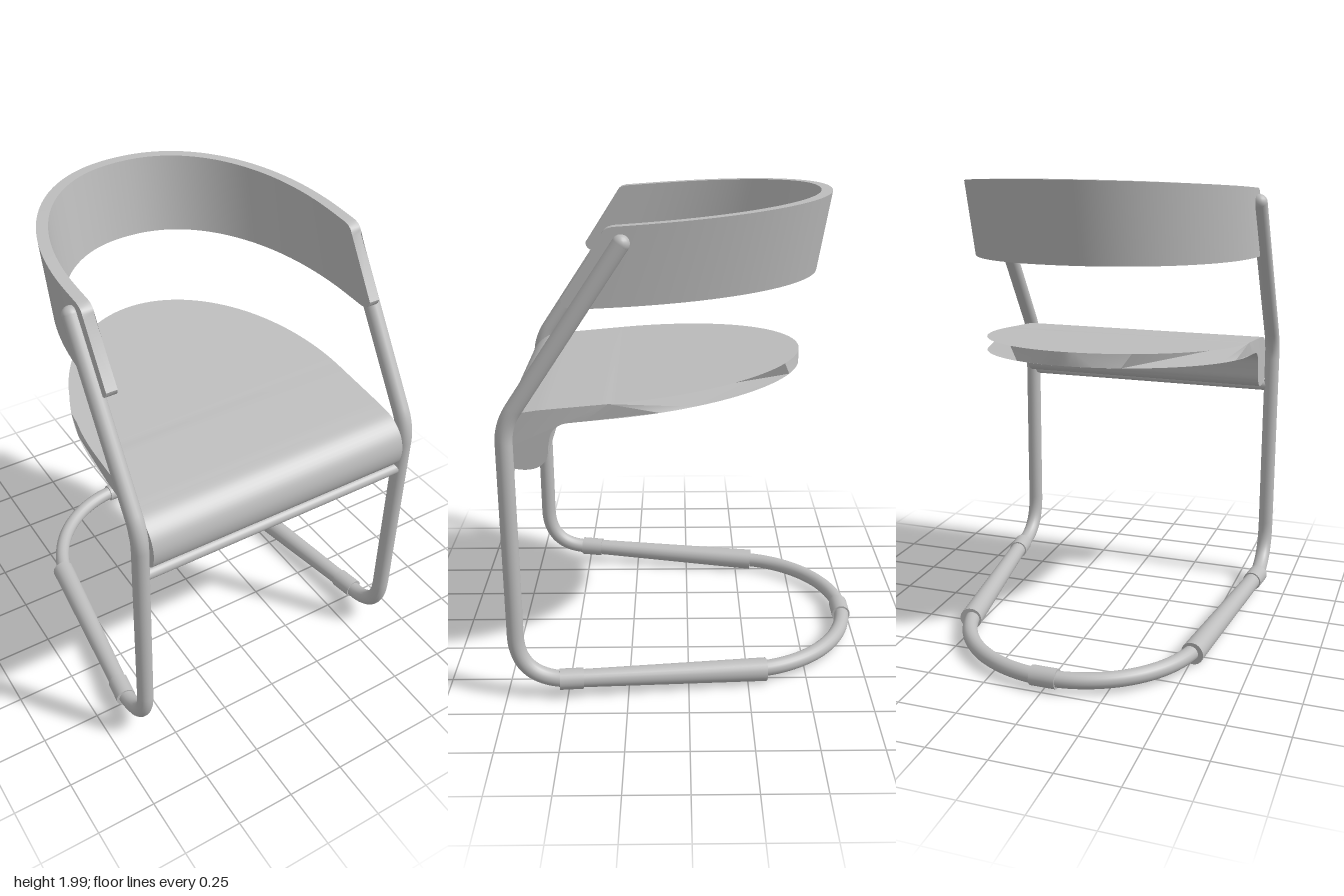
import * as THREE from 'three';
import { toCreasedNormals } from 'three/addons/utils/BufferGeometryUtils.js';

const V = (x, y, z) => new THREE.Vector3(x, y, z);
const steel = new THREE.MeshStandardMaterial({ color: 0xbdbdbd });
steel.name = 'plain grey';

function part(name, geometry) {
  const mesh = new THREE.Mesh(geometry, steel);
  mesh.name = name;
  return mesh;
}

// Tapered rod between two points
function rod(name, a, b, ra, rb = ra) {
  const dir = b.clone().sub(a);
  const mesh = part(name, new THREE.CylinderGeometry(rb, ra, dir.length(), 24));
  mesh.position.copy(a).add(b).multiplyScalar(0.5);
  mesh.quaternion.setFromUnitVectors(V(0, 1, 0), dir.normalize());
  return mesh;
}

// Bent tube: armrest support, front leg and floor runner in one
function sideFrame(s) {
  const group = new THREE.Group();
  group.name = s > 0 ? 'leftFrame' : 'rightFrame';
  const x = 0.617 * s, tip = V(x, 1.88, 0.245), foot = V(x, 0.082, 0.5), rear = V(0.512 * s, 0.055, -0.31);
  const path = new THREE.CurvePath();
  path.add(new THREE.LineCurve3(tip, V(x, 1.26, 0.66)));
  path.add(new THREE.QuadraticBezierCurve3(V(x, 1.26, 0.66), V(x, 1.195, 0.705), V(x, 1.12, 0.705)));
  path.add(new THREE.LineCurve3(V(x, 1.12, 0.705), V(x, 0.29, 0.705)));
  path.add(new THREE.QuadraticBezierCurve3(V(x, 0.29, 0.705), V(x, 0.09, 0.705), foot));
  path.add(new THREE.LineCurve3(foot, rear));
  group.add(part('legTube', new THREE.TubeGeometry(path, 180, 0.034, 18)));
  const cap = part('tubeTip', new THREE.SphereGeometry(0.034, 18, 12));
  cap.position.copy(tip);
  group.add(cap);
  const at = t => foot.clone().lerp(rear, t);
  group.add(rod('runnerSleeve', at(0.08), at(1.02), 0.037, 0.049));
  group.add(rod('footClamp', at(-0.04), at(0.08), 0.043));
  return group;
}

// Seat: side profile stretched across, then narrowed to a rounded back
function seatGeometry() {
  const back = -0.475, pts = [], n = 48;
  const run = (z1, y0, y1) => {
    const row = [];
    for (let i = 0; i <= n; i++) {
      const t = 1 - Math.cos((i / n) * Math.PI / 2);
      row.push([back + (z1 - back) * t, y0 + (y1 - y0) * t]);
    }
    return row;
  };
  const roll = [[0.58, 1.24], [0.665, 1.222], [0.725, 1.17], [0.745, 1.1], [0.725, 1.03], [0.66, 1.0],
    [0.59, 1.005], [0.55, 1.04], [0.54, 1.1], [0.527, 1.15], [0.49, 1.182], [0.43, 1.192]];
  const curve = new THREE.CatmullRomCurve3(roll.map(([z, y]) => V(0, y, z)));
  pts.push(...run(0.58, 1.335, 1.24));
  pts.push(...curve.getPoints(55).slice(1, -1).map(p => [p.z, p.y]));
  pts.push(...run(0.43, 1.278, 1.192).reverse());
  const shape = new THREE.Shape(pts.map(([z, y]) => new THREE.Vector2(-z, y)));
  const geo = new THREE.ExtrudeGeometry(shape, { depth: 2, bevelEnabled: false });
  geo.translate(0, 0, -1).rotateY(Math.PI / 2);
  const pos = geo.attributes.position;
  for (let i = 0; i < pos.count; i++) {
    const q = Math.min(1, Math.max(0, (0.3 - pos.getZ(i)) / 0.775));
    pos.setX(i, pos.getX(i) * 0.582 * Math.sqrt(1 - q * q));
  }
  return toCreasedNormals(geo, 0.6);
}

// Backrest: leaning band swept round a U-shaped path
function backrestGeometry() {
  const half = [];
  const power = 2 / 2.15, end = 0.32;
  const ends = [0, 0.004, 0.012, 0.025, 0.045, 0.08];
  for (const d of ends) half.push([0.605, end - d, d]);
  for (let i = 0; i <= 40; i++) {
    const a = (i / 40) * Math.PI / 2;
    half.push([0.605 * Math.cos(a) ** power, 0.2 - 0.79 * Math.sin(a) ** power, 1]);
  }
  half[half.length - 1][0] = 0;
  const path = [...half, ...half.slice(0, -1).reverse().map(([x, z, d]) => [-x, z, d])];
  const verts = [], index = [], thick = 0.046;
  path.forEach(([x, z, d], i) => {
    const p = path[Math.max(0, i - 1)], q = path[Math.min(path.length - 1, i + 1)];
    const dx = q[0] - p[0], dz = q[1] - p[1], len = Math.hypot(dx, dz);
    const nx = dz / len * thick, nz = -dx / len * thick;
    const r = Math.max(0, 1 - d / 0.045);
    const inset = 0.04 * (1 - Math.sqrt(1 - r * r));
    const t = (z + 0.59) / 0.91;
    const top = 2.0 - 0.065 * t - inset, bottom = 1.68 - 0.045 * t + inset;
    const lean = 0.055 + 0.095 * t;
    verts.push(x, top, z, x + nx, top, z + nz);
    verts.push(x + nx, bottom, z + nz + lean, x, bottom, z + lean);
  });
  for (let i = 0; i < path.length - 1; i++) {
    for (let k = 0; k < 4; k++) {
      const a = i * 4 + k, b = i * 4 + (k + 1) % 4;
      index.push(a, a + 4, b, b, a + 4, b + 4);
    }
  }
  const e = (path.length - 1) * 4;
  index.push(0, 1, 2, 0, 2, 3, e, e + 2, e + 1, e, e + 3, e + 2);
  const geo = new THREE.BufferGeometry();
  geo.setAttribute('position', new THREE.Float32BufferAttribute(verts, 3));
  geo.setIndex(index);
  return toCreasedNormals(geo, 0.6);
}

export function createModel() {
  const chair = new THREE.Group();
  chair.name = 'cantileverChair';
  chair.add(sideFrame(1), sideFrame(-1));

  // Curved floor tube behind the runners, with its middle clamp
  const start = 0.2;
  const arc = new THREE.TorusGeometry(0.52, 0.033, 18, 72, Math.PI - 2 * start);
  arc.rotateZ(start).rotateX(-Math.PI / 2).translate(0, 0.055, -0.195);
  chair.add(part('rearFloorTube', arc));
  chair.add(rod('rearClamp', V(-0.055, 0.055, -0.711), V(0.055, 0.055, -0.711), 0.041));

  // Bar under the seat front
  chair.add(rod('frontCrossbar', V(-0.617, 0.985, 0.705), V(0.617, 0.985, 0.705), 0.025));

  chair.add(part('seat', seatGeometry()));
  const backrest = part('backrest', backrestGeometry());
  chair.add(backrest);
  return chair;
}
